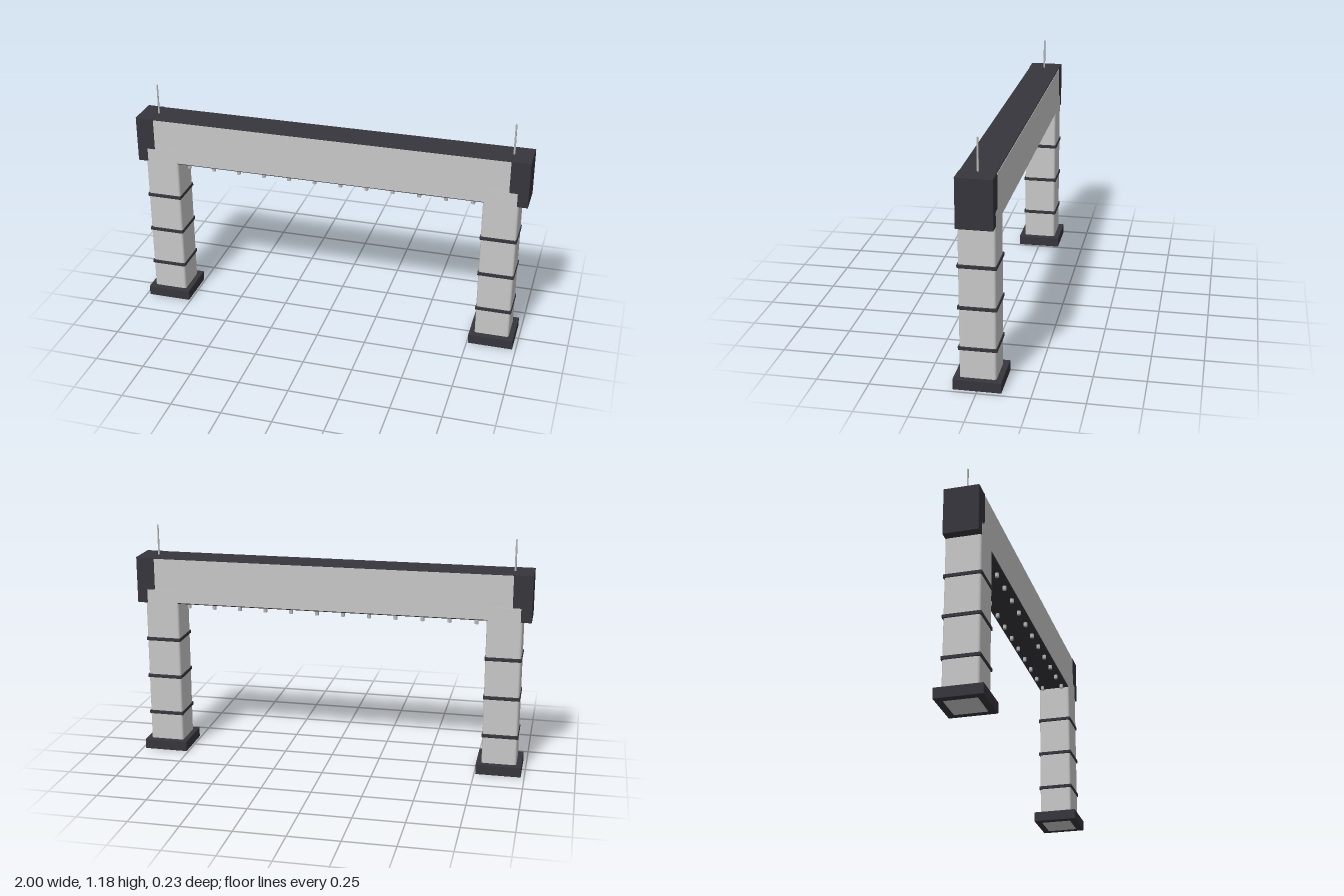
import * as THREE from 'three';
import { RoundedBoxGeometry } from 'three/addons/geometries/RoundedBoxGeometry.js';

export function createModel() {
  const gantry = new THREE.Group();
  gantry.name = 'archGantry';

  const material = (name, color) => {
    const m = new THREE.MeshStandardMaterial({ color });
    m.name = name;
    return m;
  };
  const light = material('lightGrey', 0xc8c8c8);
  const dark = material('darkGrey', 0x36353c);
  const metal = material('metalGrey', 0xbababa);

  const add = (name, geometry, mat, x, y, z, parent = gantry) => {
    const mesh = new THREE.Mesh(geometry, mat);
    mesh.name = name;
    mesh.position.set(x, y, z);
    parent.add(mesh);
    return mesh;
  };
  const block = (w, h, d, bevel) => new RoundedBoxGeometry(w, h, d, 2, bevel);

  // Crossbeam: dark core with a light panel on each long side
  add('beam', block(1.9, 0.236, 0.166, 0.004), dark, 0, 0.91, 0);
  for (const s of [-1, 1]) {
    add('beamPanel', new THREE.BoxGeometry(1.812, 0.225, 0.004), light, 0, 0.91, s * 0.083);
  }

  // Underside lamps in two rows
  const lampGeometry = new THREE.CylinderGeometry(0.01, 0.01, 0.02, 10);
  const lamps = new THREE.Group();
  lamps.name = 'lamps';
  gantry.add(lamps);
  for (let i = 0; i < 12; i++) {
    for (const z of [-0.055, 0.055]) {
      add('lamp', lampGeometry, metal, -0.733 + i * 0.1333, 0.777, z, lamps);
    }
  }

  // Towers, end caps and antennas on both sides
  for (const s of [-1, 1]) {
    const tower = new THREE.Group();
    tower.name = s > 0 ? 'leftTower' : 'rightTower';
    gantry.add(tower);
    const x = s * 0.87;
    add('pillar', block(0.174, 0.872, 0.171, 0.012), light, x, 0.436, 0, tower);
    add('foot', block(0.226, 0.053, 0.226, 0.003), dark, x, 0.0275, 0, tower);
    for (const y of [0.2, 0.4, 0.6]) {
      add('band', block(0.181, 0.018, 0.181, 0.003), dark, x, y, 0, tower);
    }
    add('endCap', block(0.094, 0.237, 0.17, 0.003), dark, s * 0.953, 0.91, 0, tower);
    add('antenna', new THREE.CylinderGeometry(0.004, 0.005, 0.16, 8), metal, s * 0.907, 1.102, 0, tower);
  }

  return gantry;
}
